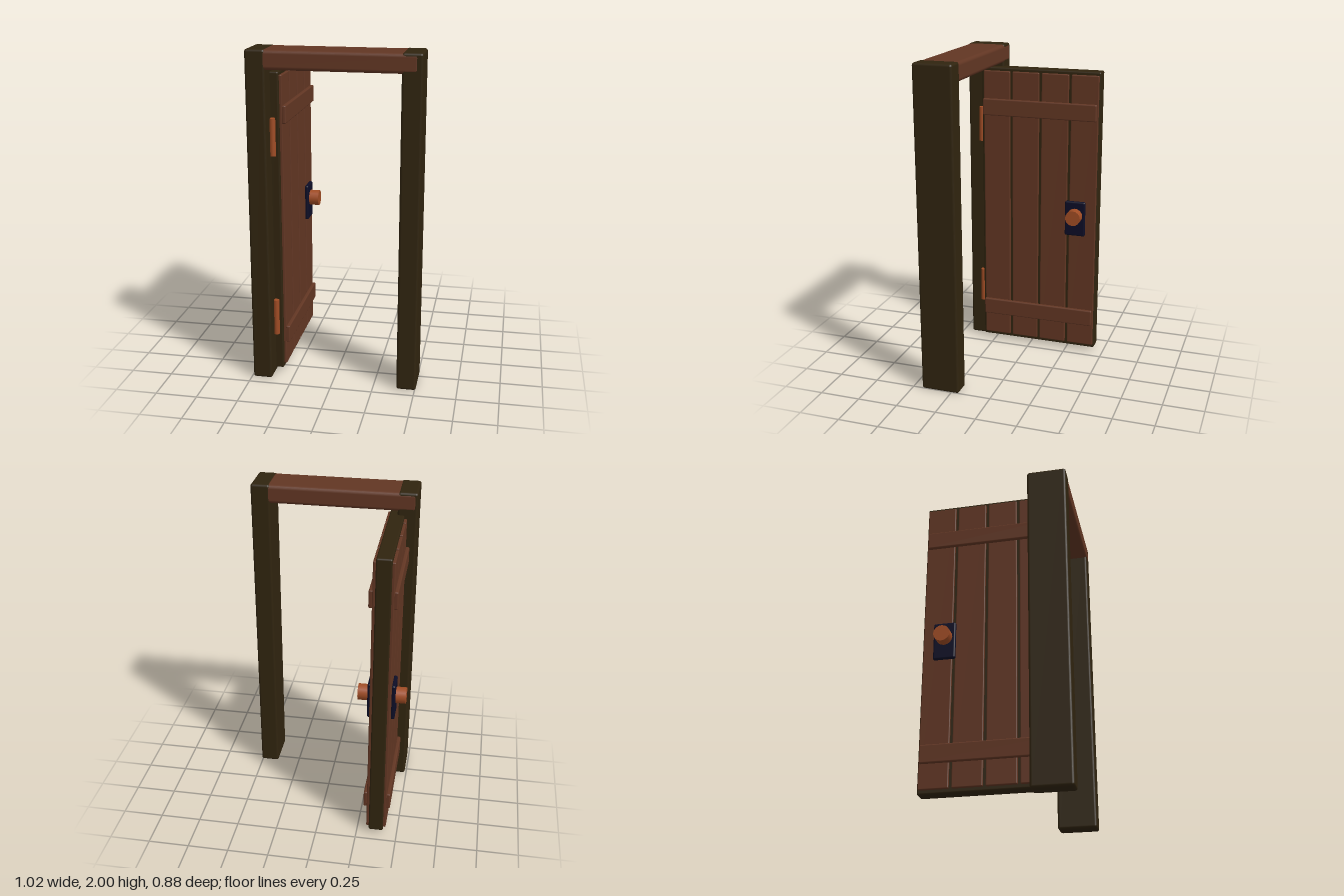
import * as THREE from 'three';
import { RoundedBoxGeometry } from 'three/addons/geometries/RoundedBoxGeometry.js';

function material(name, color) {
  const m = new THREE.MeshStandardMaterial({ color });
  m.name = name;
  return m;
}

export function createModel() {
  const darkWood = material('dark wood', 0x30240f);
  const redWood = material('red brown wood', 0x623623);
  const copper = material('copper', 0xa04c24);
  const iron = material('dark blue iron', 0x0c0d26);

  const model = new THREE.Group();
  model.name = 'openDoor';

  // Soft-edged box given by its limits on each axis
  function block(name, parent, mat, [x0, x1], [y0, y1], [z0, z1], radius) {
    const geo = new RoundedBoxGeometry(x1 - x0, y1 - y0, z1 - z0, 2, radius);
    const mesh = new THREE.Mesh(geo, mat);
    mesh.name = name;
    mesh.position.set((x0 + x1) / 2, (y0 + y1) / 2, (z0 + z1) / 2);
    parent.add(mesh);
    return mesh;
  }

  // Frame: two posts and a lintel that sits very slightly askew
  const frame = new THREE.Group();
  frame.name = 'frame';
  model.add(frame);
  block('rightPost', frame, darkWood, [-0.49, -0.373], [0, 2], [0.2, 0.44], 0.015);
  block('leftPost', frame, darkWood, [0.39, 0.507], [0, 2], [0.2, 0.44], 0.015);
  const lintel = block('lintel', frame, redWood, [-0.489, 0.487], [1.885, 1.998], [0.2, 0.44], 0.022);
  lintel.rotation.y = -0.004;

  // Hinges between the post and the door edge
  for (const y of [0.37, 1.488]) {
    const hinge = new THREE.Mesh(new THREE.CylinderGeometry(0.018, 0.018, 0.222, 12), copper);
    hinge.name = 'hinge';
    hinge.position.set(-0.36, y, 0.347);
    frame.add(hinge);
  }

  // Door leaf swung open towards the back
  const door = new THREE.Group();
  door.name = 'door';
  door.position.x = -0.37;
  model.add(door);
  block('doorCore', door, darkWood, [-0.045, 0.045], [0.022, 1.863], [-0.44, 0.332], 0.01);

  // Planks, cross bands and lock plates on both faces
  for (const side of [-1, 1]) {
    const span = (a, b) => (side > 0 ? [a, b] : [-b, -a]);
    for (let i = 0; i < 4; i++) {
      const z = -0.432 + i * 0.191;
      block('plank', door, redWood, span(0.04, 0.061), [0.046, 1.842], [z, z + 0.174], 0.006);
    }
    for (const y of [0.19, 1.56]) {
      block('crossBand', door, redWood, span(0.057, 0.082), [y, y + 0.107], [-0.425, 0.316], 0.008);
    }
    block('lockPlate', door, iron, span(0.057, 0.082), [0.81, 1.038], [-0.367, -0.235], 0.01);
  }

  // Knob running through the door
  const knob = new THREE.Mesh(new THREE.CylinderGeometry(0.049, 0.049, 0.284, 16), copper);
  knob.name = 'knob';
  knob.rotation.z = Math.PI / 2;
  knob.position.set(0, 0.945, -0.302);
  door.add(knob);

  return model;
}
